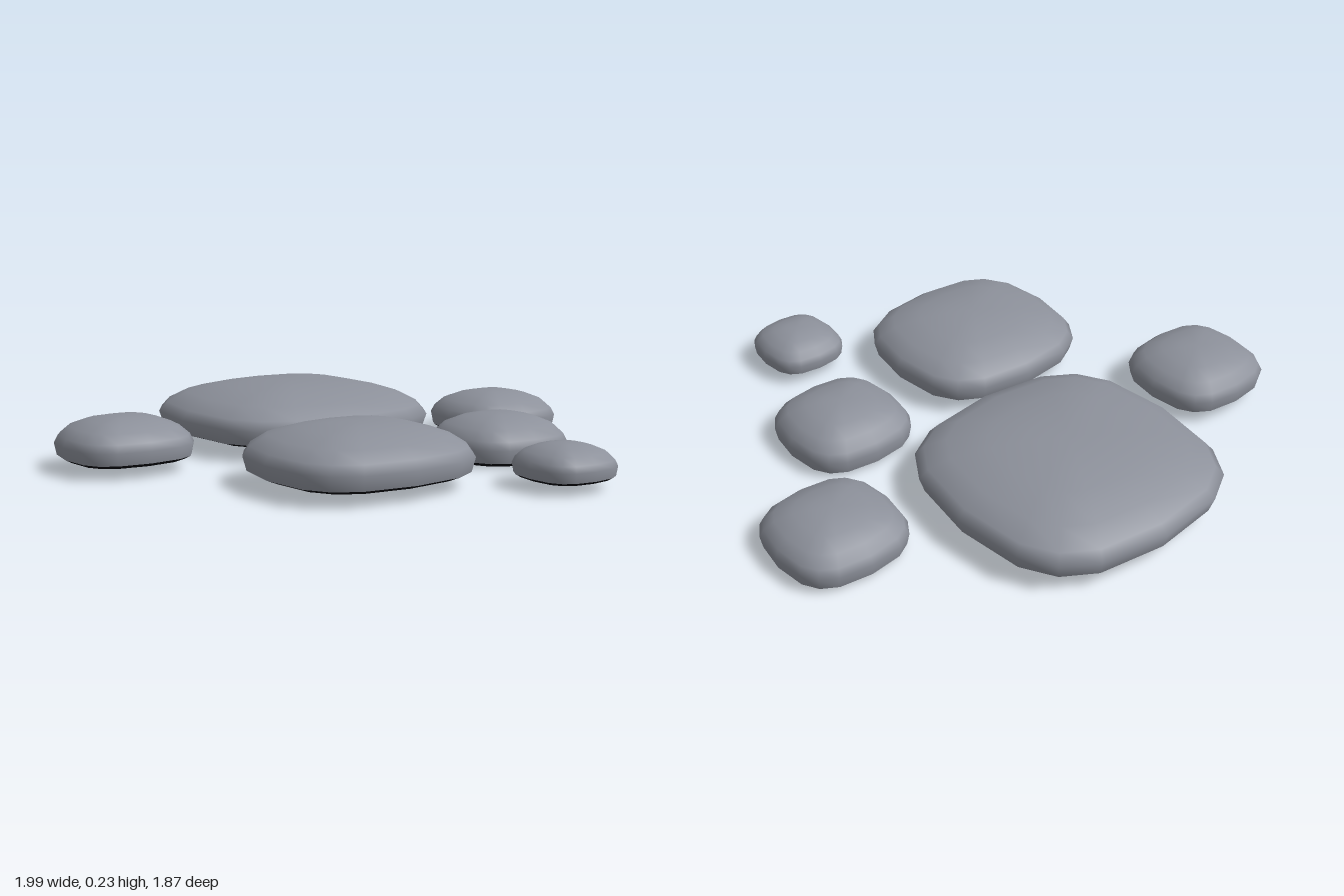
import * as THREE from 'three';
import { mergeVertices } from 'three/addons/utils/BufferGeometryUtils.js';

// Rounded-square outline: one quadrant, turned four times
const QUADRANT = [[1, 0], [0.93, 0.53], [0.78, 0.78], [0.53, 0.93]];
const OUTLINE = [];
for (let q = 0; q < 4; q++) {
  for (const [a, b] of QUADRANT) {
    let p = [a, b];
    for (let i = 0; i < q; i++) p = [-p[1], p[0]];
    OUTLINE.push(p);
  }
}

// Profiles as [radius, height], from the bottom up
const BASE = [[0, 0], [0.55, 0.0], [0.86, 0.015], [0.965, 0.1]];
const TOP = [[0.965, 0.1], [1, 0.38], [0.94, 0.56], [0.79, 0.76], [0.53, 0.91], [0.27, 0.98], [0, 1]];

// Loft a profile around the rounded-square outline
function loft(profile, hx, height, hz) {
  const points = profile.map(([r, y]) => new THREE.Vector2(r, y));
  const geo = new THREE.LatheGeometry(points, 16);
  const pos = geo.attributes.position;
  for (let i = 0; i < pos.count; i++) {
    const seg = Math.floor(i / profile.length) % 16;
    const [r, y] = profile[i % profile.length];
    // same turning direction as the lathe: starts at +z, goes to +x
    const [oz, ox] = OUTLINE[seg];
    pos.setXYZ(i, ox * r * hx, y * height, oz * r * hz);
  }
  geo.deleteAttribute('uv');
  geo.deleteAttribute('normal');
  const merged = mergeVertices(geo, 1e-5);
  merged.computeVertexNormals();
  return merged;
}

export function createModel() {
  const group = new THREE.Group();
  group.name = 'steppingStones';
  const stone = new THREE.MeshStandardMaterial({ color: 0x8d919b });
  stone.name = 'stone grey';
  const underside = new THREE.MeshStandardMaterial({ color: 0x080812 });
  underside.name = 'underside black';

  // name, x, z, half width, half depth, bottom, top
  const stones = [
    ['largeStone', 0, -0.465, 0.47, 0.473, 0.038, 0.227],
    ['mediumStone', -0.26, 0.373, 0.358, 0.335, 0.034, 0.21],
    ['rightStone', -0.776, -0.302, 0.224, 0.22, 0.034, 0.185],
    ['leftStone', 0.77, -0.2, 0.224, 0.22, 0.003, 0.157],
    ['frontLeftStone', 0.42, 0.262, 0.224, 0.22, 0, 0.162],
    ['smallStone', 0.272, 0.776, 0.153, 0.157, 0.03, 0.147],
  ];
  for (const [name, x, z, hx, hz, y0, y1] of stones) {
    const part = new THREE.Group();
    part.name = name;
    part.position.set(x, y0, z);
    const body = new THREE.Mesh(loft(TOP, hx, y1 - y0, hz), stone);
    body.name = name + 'Body';
    const base = new THREE.Mesh(loft(BASE, hx, y1 - y0, hz), underside);
    base.name = name + 'Underside';
    part.add(body, base);
    group.add(part);
  }
  return group;
}
